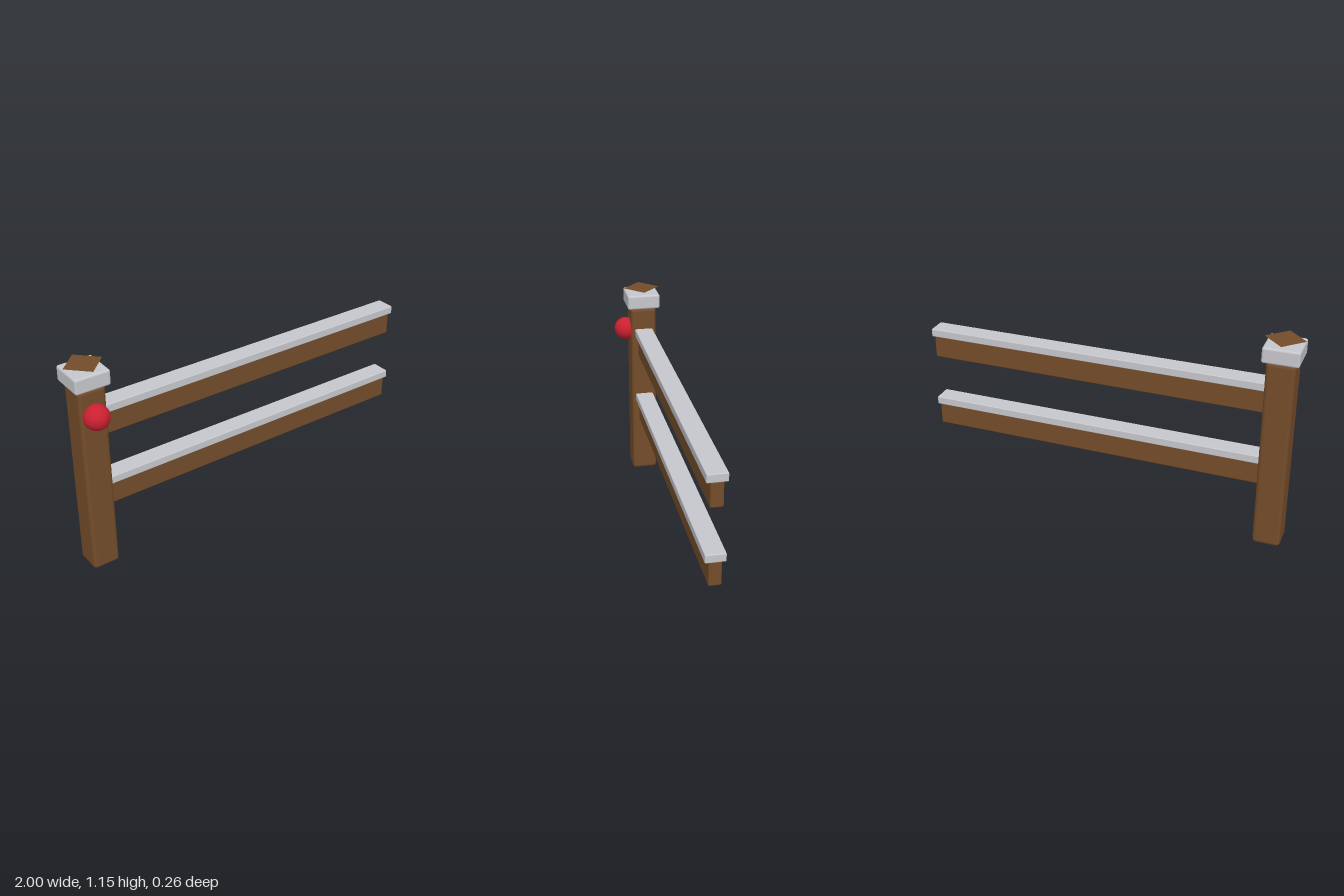
import * as THREE from 'three';
import { RoundedBoxGeometry } from 'three/addons/geometries/RoundedBoxGeometry.js';

const mat = (name, color, side = THREE.FrontSide) => {
  const m = new THREE.MeshStandardMaterial({ color, side });
  m.name = name;
  return m;
};

export function createModel() {
  const group = new THREE.Group();
  group.name = 'fenceSection';
  const wood = mat('brownWood', 0x734c2a, THREE.DoubleSide);
  const trim = mat('paleGrey', 0xc6c7cc);
  const red = mat('red', 0xcb2030);

  const add = (name, geometry, material, x, y, z) => {
    const mesh = new THREE.Mesh(geometry, material);
    mesh.name = name;
    mesh.position.set(x, y, z);
    group.add(mesh);
    return mesh;
  };
  // Rounded box given by its lower and upper corners
  const block = (name, material, [x0, y0, z0], [x1, y1, z1], radius) =>
    add(name, new RoundedBoxGeometry(x1 - x0, y1 - y0, z1 - z0, 3, radius), material,
      (x0 + x1) / 2, (y0 + y1) / 2, (z0 + z1) / 2);

  const postX = -0.898, postZ = -0.028;

  // Post with its cap
  block('post', wood, [postX - 0.073, 0, postZ - 0.073], [postX + 0.073, 1.04, postZ + 0.073], 0.02);
  block('postCap', trim, [postX - 0.093, 1.042, postZ - 0.093], [postX + 0.093, 1.125, postZ + 0.093], 0.012);

  // Thin diamond plate hovering just over the cap
  const plate = add('capDiamond', new THREE.CircleGeometry(0.102, 4), wood, postX, 1.146, postZ);
  plate.rotation.x = -Math.PI / 2;

  // Two rails, each with a pale strip along the top
  for (const [level, y] of [['lower', 0.335], ['upper', 0.745]]) {
    block(level + 'Rail', wood, [-0.86, y, postZ - 0.032], [0.996, y + 0.13, postZ + 0.032], 0.008);
    block(level + 'RailStrip', trim, [-0.86, y + 0.128, postZ - 0.051], [1, y + 0.172, postZ + 0.051], 0.005);
  }

  // Round reflector on the front of the post
  add('reflector', new THREE.SphereGeometry(0.065, 32, 20), red, postX, 0.903, 0.068);

  return group;
}
